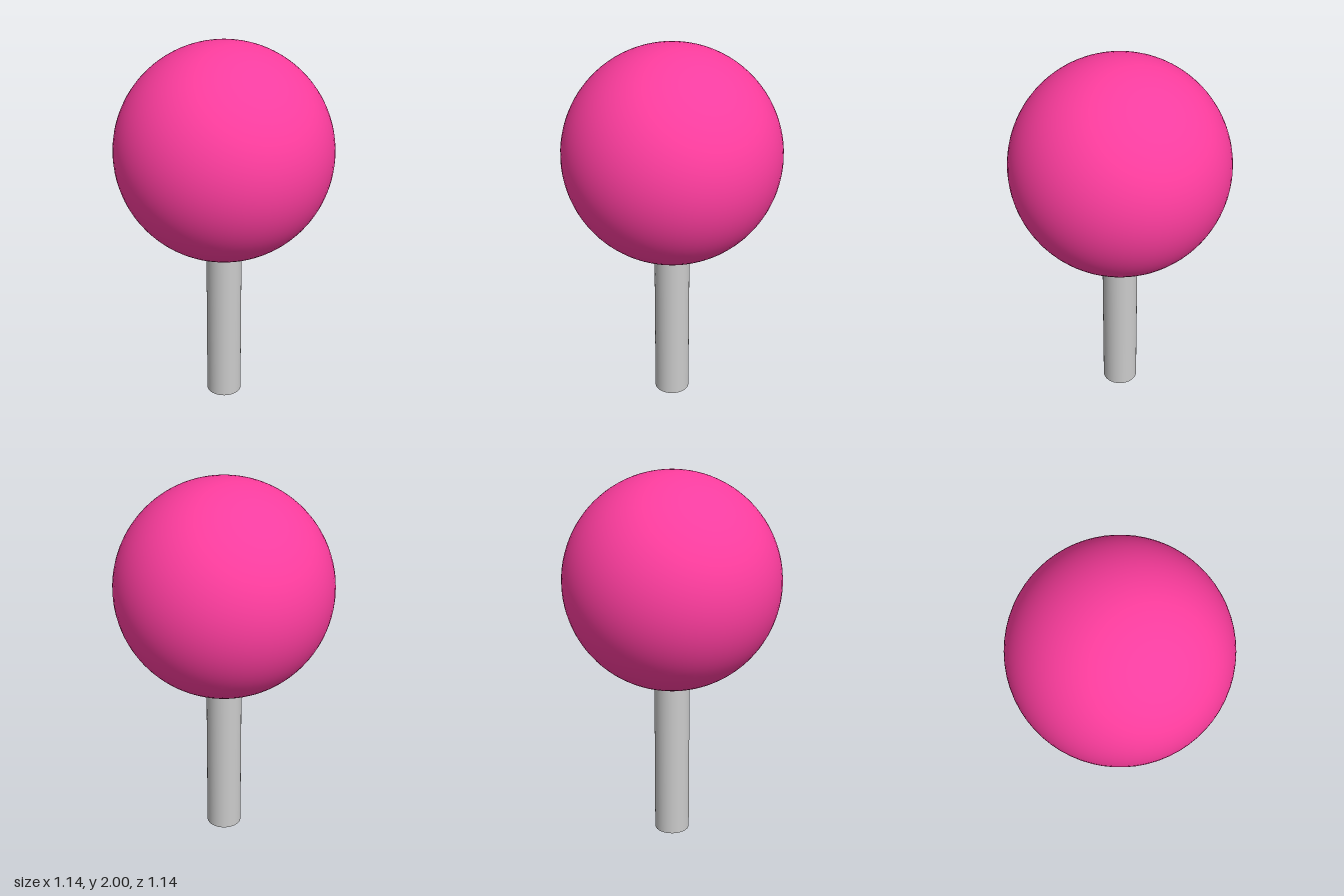
import * as THREE from 'three';

const BALL_RADIUS = 0.568;
const STICK_RADIUS = 0.094;
const STICK_HEIGHT = 0.9; // top end sits just inside the ball

export function createModel() {
  const model = new THREE.Group();
  model.name = 'ballOnStick';

  // Round pink head
  const ball = new THREE.Mesh(
    new THREE.SphereGeometry(BALL_RADIUS, 64, 48),
    new THREE.MeshStandardMaterial({ color: 0xff3d9f })
  );
  ball.name = 'ball';
  ball.position.y = 2 - BALL_RADIUS;
  model.add(ball);

  // Straight stick with flat ends
  const stick = new THREE.Mesh(
    new THREE.CylinderGeometry(STICK_RADIUS, STICK_RADIUS, STICK_HEIGHT, 48),
    new THREE.MeshStandardMaterial({ color: 0xcccccc })
  );
  stick.name = 'stick';
  stick.position.y = STICK_HEIGHT / 2;
  model.add(stick);

  return model;
}
